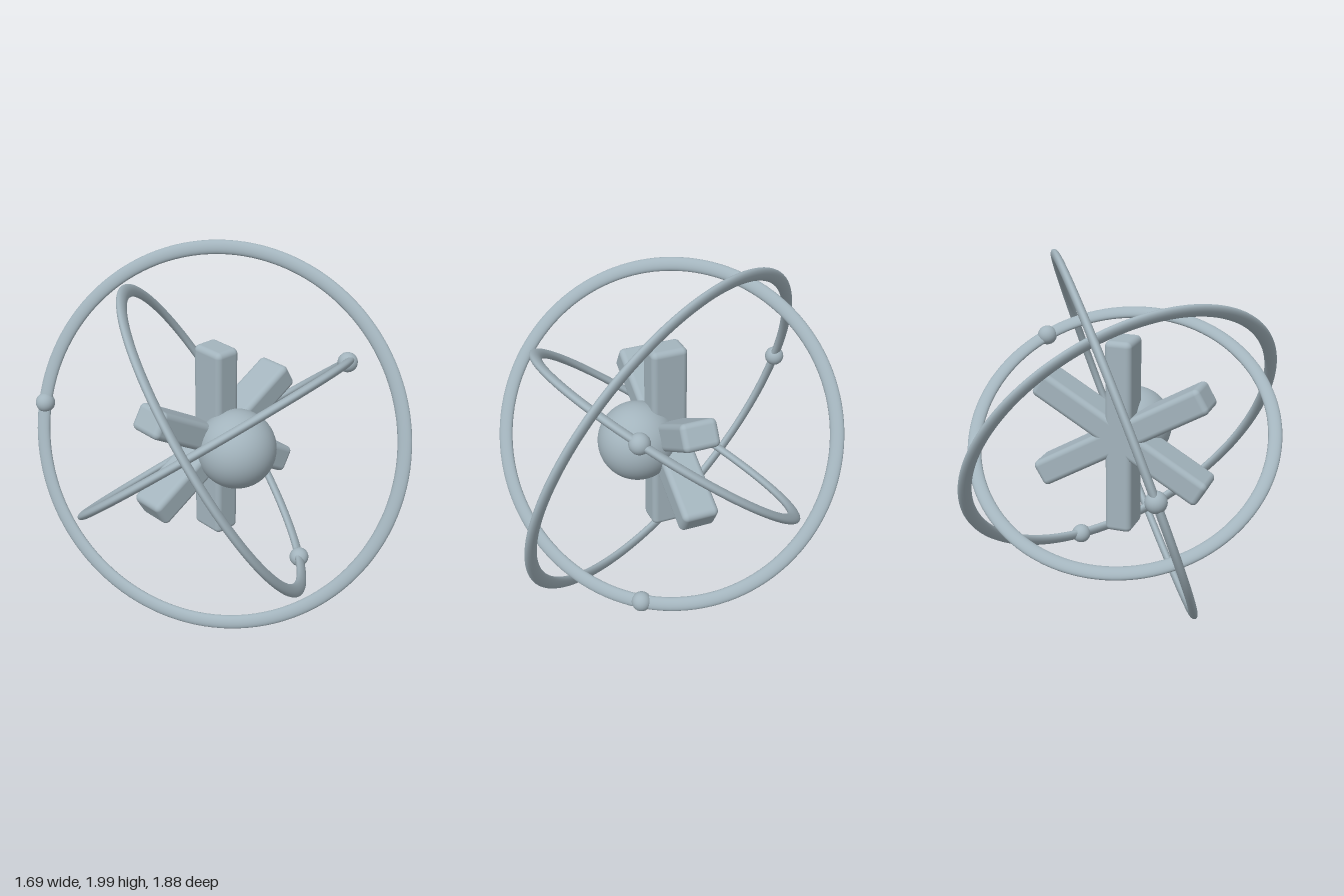
import * as THREE from 'three';
import { RoundedBoxGeometry } from 'three/addons/geometries/RoundedBoxGeometry.js';

export function createModel() {
  const model = new THREE.Group();
  model.name = 'atomEmblem';
  const steel = new THREE.MeshStandardMaterial({ color: 0xa3b4bd });
  steel.name = 'paleSteel';

  function add(name, geometry, x = 0, y = 0, z = 0) {
    const mesh = new THREE.Mesh(geometry, steel);
    mesh.name = name;
    mesh.position.set(x, y + 1, z);
    model.add(mesh);
    return mesh;
  }

  // Six-armed star: three rounded bars crossing at the centre
  for (let i = 0; i < 3; i++) {
    const bar = add('starBar' + (i + 1), new RoundedBoxGeometry(0.148, 1.076, 0.2, 4, 0.03));
    bar.position.z = 0.003;
    bar.rotation.z = i * Math.PI / 3;
  }

  // Nucleus in front of the star
  add('nucleus', new THREE.SphereGeometry(0.212, 48, 32), 0, 0.003, 0.165);

  // Orbit rings with a flattened tube, each carrying one small ball
  const tube = 0.0375, flatness = 0.58;
  const orbits = [
    { name: 'outer', radius: 1.015, normal: [-0.824, 0.325, 0.46], ball: [-0.49, 0.05, -0.885] },
    { name: 'middle', radius: 0.914, normal: [0.667, 0.52, 0.53], ball: [0.376, -0.77, 0.302] },
    { name: 'inner', radius: 0.812, normal: [-0.115, 0.775, -0.62], ball: [0.6, 0.393, 0.387] },
  ];
  for (const { name, radius, normal, ball } of orbits) {
    const geometry = new THREE.TorusGeometry(radius, tube, 20, 128).scale(1, 1, flatness);
    const ring = add(name + 'Orbit', geometry);
    const axis = new THREE.Vector3(...normal).normalize();
    ring.quaternion.setFromUnitVectors(new THREE.Vector3(0, 0, 1), axis);

    // Keep the ball exactly on the ring
    const p = new THREE.Vector3(...ball).projectOnPlane(axis).setLength(radius);
    add(name + 'Electron', new THREE.SphereGeometry(0.054, 24, 16), p.x, p.y, p.z);
  }
  return model;
}
